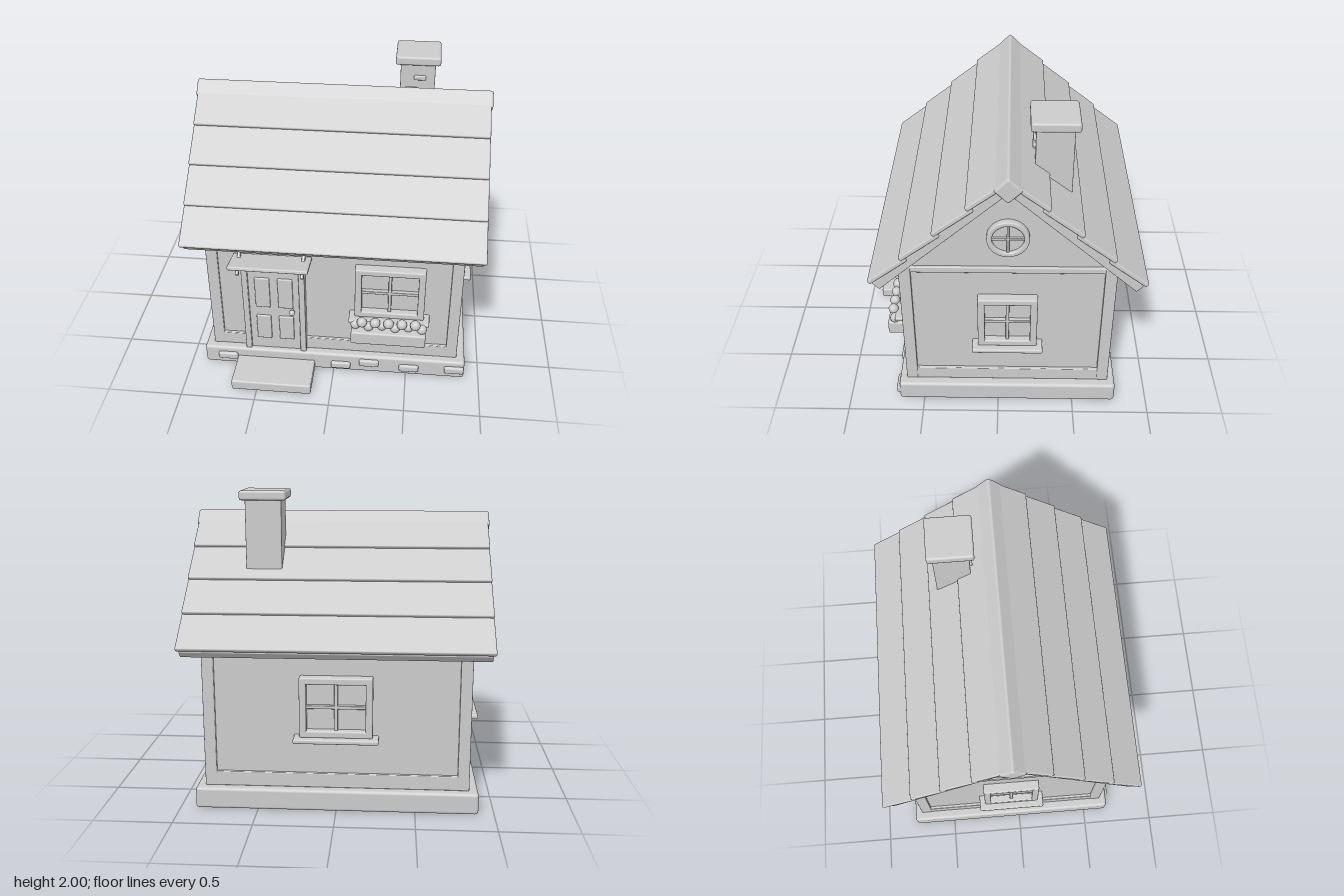
import * as THREE from 'three';
import { RoundedBoxGeometry } from 'three/addons/geometries/RoundedBoxGeometry.js';

const material = new THREE.MeshStandardMaterial({ color: 0xcccccc });
const CZ = -0.06; // depth centre of the house body

function add(parent, name, geometry, x, y, z) {
  const mesh = new THREE.Mesh(geometry, material);
  mesh.name = name;
  mesh.position.set(x, y, z);
  parent.add(mesh);
  return mesh;
}

// Softly rounded box given by its size and centre
function box(parent, name, [w, h, d], [x, y, z], r = 0.01) {
  const radius = Math.min(r, Math.min(w, h, d) / 3);
  return add(parent, name, new RoundedBoxGeometry(w, h, d, 2, radius), x, y, z);
}

function subgroup(parent, name, x, y, z, turn = 0) {
  const g = new THREE.Group();
  g.name = name;
  g.position.set(x, y, z);
  g.rotation.y = turn;
  parent.add(g);
  return g;
}

// Cross-barred window facing local +z, with z = 0 on the wall
function addWindow(parent, name, width, x, z, turn) {
  const g = subgroup(parent, name, x, 0.69, z, turn);
  const h = 0.39, t = 0.045;
  box(g, 'windowPane', [width - t, h - t, 0.02], [0, 0, 0.008], 0.002);
  for (const s of [-1, 1]) {
    box(g, 'windowFrameSide', [t, h, 0.07], [s * (width - t) / 2, 0, 0.03]);
    box(g, 'windowFrameRail', [width, t, 0.07], [0, s * (h - t) / 2, 0.03]);
  }
  box(g, 'verticalBar', [0.022, h - t, 0.03], [0, 0, 0.03], 0.005);
  box(g, 'horizontalBar', [width - t, 0.022, 0.03], [0, 0, 0.03], 0.005);
  box(g, 'windowSill', [width + 0.075, 0.03, 0.115], [0, -0.207, 0.05]);
}

// Round gable window facing local +z
function addRoundWindow(parent, x, turn) {
  const g = subgroup(parent, 'roundWindow', x, 1.34, CZ, turn);
  const ring = new THREE.Shape().absarc(0, 0, 0.12, 0, Math.PI * 2);
  ring.holes.push(new THREE.Path().absarc(0, 0, 0.108, 0, Math.PI * 2, true));
  add(g, 'roundFrame', new THREE.ExtrudeGeometry(ring, {
    depth: 0.03, bevelSize: 0.01, bevelThickness: 0.01, bevelSegments: 3, curveSegments: 24,
  }), 0, 0, 0);
  add(g, 'roundPane', new THREE.CylinderGeometry(0.11, 0.11, 0.02, 32), 0, 0, 0.005).rotation.x = Math.PI / 2;
  box(g, 'verticalBar', [0.016, 0.2, 0.025], [0, 0, 0.018], 0.004);
  box(g, 'horizontalBar', [0.2, 0.016, 0.025], [0, 0, 0.018], 0.004);
}

function addBody(house) {
  // Foundation, step and stones
  box(house, 'foundation', [1.8, 0.14, 1.45], [0, 0.075, CZ], 0.02);
  box(house, 'doorStep', [0.54, 0.075, 0.26], [-0.4, 0.042, 0.788], 0.012);
  for (const [x, y] of [[-0.738, 0.08], [0.05, 0.06], [0.245, 0.093], [0.52, 0.07], [0.83, 0.08]]) {
    box(house, 'foundationStone', [0.135, 0.055, 0.05], [x, y, 0.66], 0.015);
  }
  // Walls with gables
  const profile = new THREE.Shape([[-0.655, 0.14], [0.655, 0.14], [0.655, 1.12], [0, 1.74], [-0.655, 1.12]]
    .map(([x, y]) => new THREE.Vector2(x, y)));
  const walls = add(house, 'walls', new THREE.ExtrudeGeometry(profile, { depth: 1.64, bevelEnabled: false }), -0.82, 0, CZ);
  walls.rotation.y = Math.PI / 2;
  // Posts, baseboards and top beams
  for (const s of [-1, 1]) {
    for (const t of [-1, 1]) {
      box(house, 'cornerPost', [0.075, 0.965, 0.075], [s * 0.805, 0.627, CZ + t * 0.639], 0.008);
    }
    box(house, 'sideBaseboard', [0.04, 0.095, 1.3], [s * 0.82, 0.193, CZ], 0.006);
    box(house, 'sideTopBeam', [0.04, 0.042, 1.3], [s * 0.82, 1.09, CZ], 0.006);
    box(house, 'longBaseboard', [1.68, 0.095, 0.04], [0, 0.193, CZ + s * 0.655], 0.006);
    box(house, 'longTopBeam', [1.6, 0.042, 0.04], [0, 1.09, CZ + s * 0.655], 0.006);
  }
}

function addRoof(house) {
  for (const turn of [0, Math.PI]) {
    // Local z runs down the slope, local y points out of it
    const slope = subgroup(house, 'roofSlope', 0, 1.811, CZ);
    slope.rotation.set(0.738, turn, 0, 'YXZ');
    box(slope, 'roofDeck', [1.89, 0.06, 1.11], [0, -0.03, 0.555], 0.008);
    for (let k = 0; k < 4; k++) {
      const plank = box(slope, 'roofPlank', [1.92, 0.03, 0.3], [0, 0.015, 0.965 - 0.271 * k], 0.009);
      plank.rotation.x = -0.077;
    }
  }
  box(house, 'ridgeBeam', [1.94, 0.122, 0.122], [0, 1.764, CZ], 0.015).rotation.x = Math.PI / 4;

  // Chimney
  const chimney = subgroup(house, 'chimney', 0.478, 0, -0.333);
  box(chimney, 'chimneyStack', [0.23, 0.7, 0.23], [0, 1.61, 0], 0.008);
  box(chimney, 'chimneyCap', [0.295, 0.06, 0.295], [0, 1.97, 0], 0.015);
  [1.68, 1.76, 1.845].forEach((y, i) => {
    box(chimney, 'chimneyBrick', [0.08, 0.032, 0.03], [i === 1 ? -0.04 : 0.015, y, 0.115], 0.008);
  });
}

function addDoor(house) {
  const door = subgroup(house, 'door', -0.4, 0, 0.594);
  box(door, 'doorLeaf', [0.37, 0.7, 0.04], [0, 0.49, 0.015], 0.005);
  for (const s of [-1, 1]) {
    box(door, 'doorJamb', [0.04, 0.73, 0.07], [s * 0.19, 0.51, 0.025], 0.008);
    box(door, 'upperPanel', [0.1, 0.245, 0.025], [s * 0.077, 0.632, 0.035], 0.008);
    box(door, 'lowerPanel', [0.1, 0.2, 0.025], [s * 0.077, 0.335, 0.035], 0.008);
    // Canopy brackets
    box(door, 'canopyBracket', [0.022, 0.025, 0.155], [s * 0.21, 0.908, 0.097], 0.004).rotation.x = 0.7;
  }
  box(door, 'doorLintel', [0.42, 0.04, 0.075], [0, 0.847, 0.027], 0.008);
  add(door, 'doorKnob', new THREE.SphereGeometry(0.02, 16, 12), 0.122, 0.492, 0.065);
  add(door, 'knobStem', new THREE.CylinderGeometry(0.009, 0.009, 0.04, 12), 0.122, 0.492, 0.045).rotation.x = Math.PI / 2;
  box(door, 'doorCanopy', [0.515, 0.027, 0.215], [0, 0.934, 0.112], 0.008).rotation.x = -0.2;
}

function addFlowerBox(house) {
  const planter = subgroup(house, 'flowerBox', 0.372, 0, 0.69);
  box(planter, 'planter', [0.495, 0.098, 0.128], [0, 0.388, 0], 0.012);
  const ball = (name, r, x, y, z) => add(planter, name, new THREE.SphereGeometry(r, 16, 12), x, y, z);
  for (let i = 0; i < 6; i++) ball('foliage', 0.034, (i - 2.5) * 0.088, 0.463, i % 2 ? 0.015 : 0.0);
  for (let i = 0; i < 5; i++) ball('flower', 0.034, (i - 2) * 0.088, 0.503, 0.028);
}

export function createModel() {
  const house = new THREE.Group();
  house.name = 'cottage';
  addBody(house);
  addRoof(house);
  addDoor(house);
  addWindow(house, 'frontWindow', 0.46, 0.372, 0.594, 0);
  addWindow(house, 'backWindow', 0.46, 0, -0.714, Math.PI);
  for (const s of [-1, 1]) {
    addWindow(house, 'sideWindow', 0.38, s * 0.82, CZ, s * Math.PI / 2);
    addRoundWindow(house, s * 0.82, s * Math.PI / 2);
  }
  addFlowerBox(house);
  return house;
}
